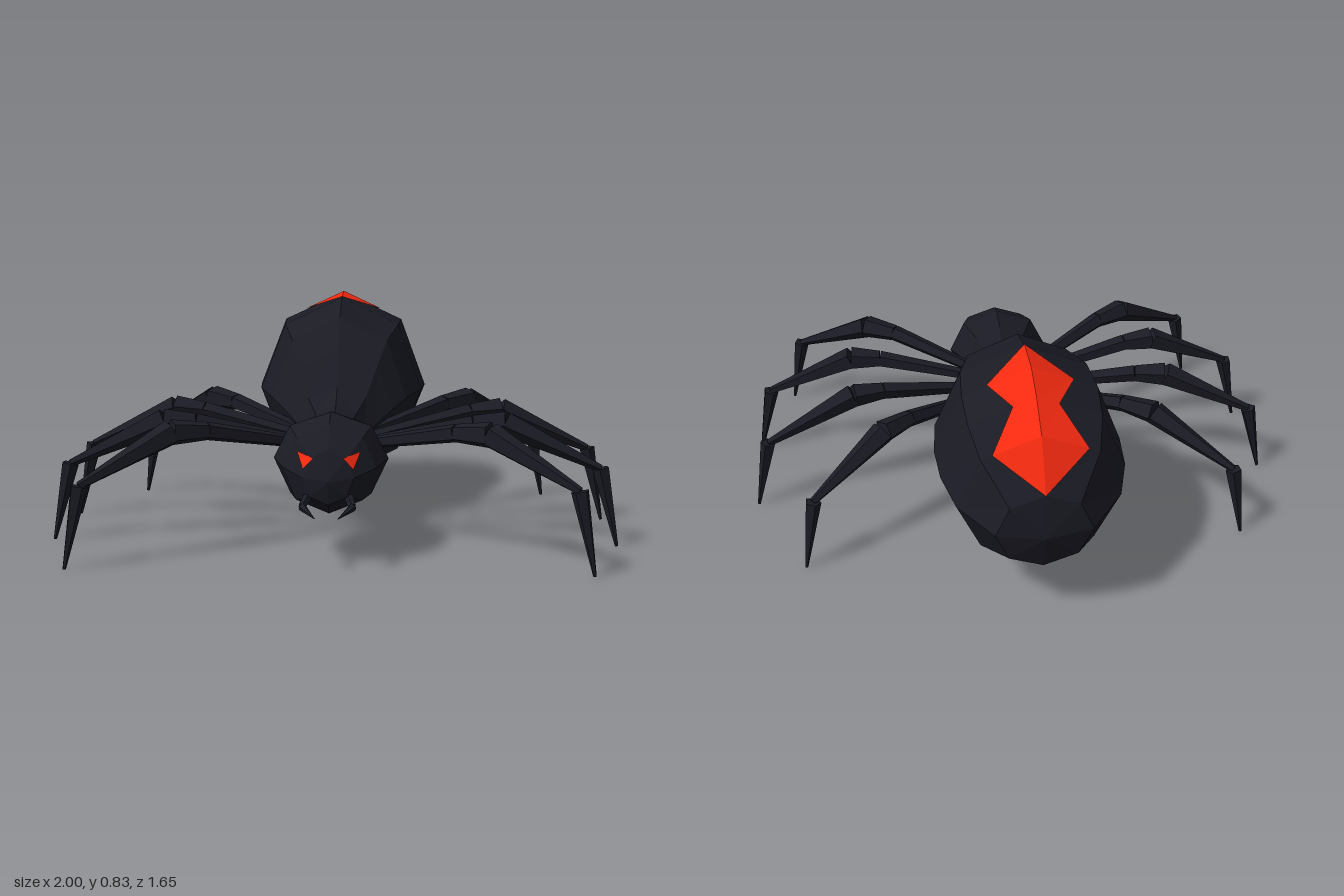
import * as THREE from 'three';

const V = (x, y, z) => new THREE.Vector3(x, y, z);
const shell = new THREE.MeshStandardMaterial({ color: 0x1a1b24, flatShading: true });
const red = new THREE.MeshStandardMaterial({ color: 0xf52a10, flatShading: true, side: THREE.DoubleSide });

function named(name, geometry, material) {
  const m = new THREE.Mesh(geometry, material);
  m.name = name;
  return m;
}

function fromTriangles(points) {
  const g = new THREE.BufferGeometry().setFromPoints(points);
  g.computeVertexNormals();
  return g;
}

// Point k of an eight-sided ring: [top z, top y, mid z, mid y, half width, bottom z, bottom y]
function ringPoint([tz, ty, mz, my, w, bz, by], k) {
  const a = (k * Math.PI) / 4, c = Math.cos(a), t = Math.abs(c);
  const z = c > 0 ? tz : bz, y = c > 0 ? ty : by;
  return V(w * Math.sin(a), my + (y - my) * t, mz + (z - mz) * t);
}

// Skin over rings running from back to front, with mirrored diagonals
function loft(rings) {
  const pts = [];
  for (let i = 0; i < rings.length - 1; i++) {
    for (let k = 0; k < 8; k++) {
      const a = ringPoint(rings[i], k), a1 = ringPoint(rings[i], k + 1);
      const b = ringPoint(rings[i + 1], k), b1 = ringPoint(rings[i + 1], k + 1);
      if (k < 4) pts.push(a, b, b1, a, b1, a1);
      else pts.push(a, b, a1, a1, b, b1);
    }
  }
  return fromTriangles(pts);
}

// Tapered low-poly limb section between two points
function limb(name, p, q, r0, r1, sides = 5) {
  const d = q.clone().sub(p);
  const m = named(name, new THREE.CylinderGeometry(r1, r0, d.length(), sides), shell);
  m.position.copy(p).add(q).multiplyScalar(0.5);
  m.quaternion.setFromUnitVectors(V(0, 1, 0), d.normalize());
  return m;
}

const pole = (z, y) => [z, y, z, y, 0, z, y];

const abdomenRings = [
  pole(-0.83, 0.39),
  [-0.805, 0.55, -0.805, 0.4, 0.165, -0.78, 0.24],
  [-0.7, 0.71, -0.67, 0.43, 0.28, -0.63, 0.155],
  [-0.58, 0.78, -0.53, 0.45, 0.32, -0.48, 0.14],
  [-0.455, 0.82, -0.38, 0.455, 0.33, -0.305, 0.125],
  [-0.29, 0.81, -0.22, 0.46, 0.315, -0.18, 0.13],
  [-0.106, 0.75, -0.04, 0.45, 0.255, -0.06, 0.14],
  [0, 0.64, 0.04, 0.42, 0.205, 0.04, 0.16],
  [0.115, 0.51, 0.12, 0.38, 0.15, 0.12, 0.19],
  [0.2, 0.46, 0.2, 0.35, 0.105, 0.2, 0.23],
  [0.28, 0.44, 0.28, 0.35, 0.085, 0.28, 0.26],
  [0.36, 0.44, 0.36, 0.34, 0.08, 0.36, 0.26],
  pole(0.38, 0.34),
];

const headRings = [
  pole(0.33, 0.34),
  [0.36, 0.42, 0.355, 0.34, 0.08, 0.36, 0.25],
  [0.43, 0.475, 0.41, 0.335, 0.135, 0.43, 0.195],
  [0.535, 0.49, 0.52, 0.33, 0.195, 0.535, 0.16],
  [0.62, 0.46, 0.635, 0.32, 0.155, 0.65, 0.168],
  [0.69, 0.39, 0.705, 0.3, 0.085, 0.71, 0.21],
  pole(0.73, 0.29),
];

// Per leg: [x, z] of hip, lower knee, upper knee, ankle and foot
const legs = {
  frontLeg: [[0.05, 0.29], [0.42, 0.53], [0.53, 0.59], [0.81, 0.755], [0.863, 0.772]],
  frontMiddleLeg: [[0.05, 0.27], [0.49, 0.332], [0.6, 0.342], [0.93, 0.385], [0.992, 0.393]],
  rearMiddleLeg: [[0.05, 0.22], [0.49, 0.1], [0.6, 0.073], [0.93, 0.015], [0.992, 0.008]],
  rearLeg: [[0.05, 0.18], [0.4, -0.105], [0.5, -0.19], [0.765, -0.375], [0.81, -0.397]],
};

function makeLeg(name, plan, s) {
  const heights = [0.33, 0.42, 0.425, 0.275, 0];
  const [hip, knee, top, ankle, foot] = plan.map(([x, z], i) => V(s * x, heights[i], z));
  const leg = new THREE.Group();
  leg.name = (s > 0 ? 'left ' : 'right ') + name;
  leg.add(
    limb('thigh', hip, knee, 0.018, 0.033),
    limb('knee', knee, top, 0.033, 0.046),
    limb('shin', top, ankle, 0.046, 0.014),
    limb('foot', ankle, foot, 0.03, 0.006),
  );
  return leg;
}

// Red hourglass following the ridge of the abdomen
function makeMark() {
  const half = [0, 0.8, 0.34, 0.63, 0];
  const centre = V(0, 0.45, -0.38), pts = [];
  const at = (i, s) => {
    const r = abdomenRings[i + 1];
    const p = ringPoint(r, 0).lerp(ringPoint(r, s > 0 ? 1 : 7), s ? half[i] : 0);
    return p.sub(centre).multiplyScalar(1.012).add(centre);
  };
  for (const s of [1, -1]) {
    for (let i = 0; i < 4; i++) {
      const t = at(i, 0), t1 = at(i + 1, 0), e = at(i, s), e1 = at(i + 1, s);
      if (i > 0) pts.push(...(s > 0 ? [t, e1, e] : [t, e, e1]));
      if (i < 3) pts.push(...(s > 0 ? [t, t1, e1] : [t, e1, t1]));
      else pts.push(...(s > 0 ? [t, t1, e] : [t, e, t1]));
    }
  }
  return named('hourglassMark', fromTriangles(pts.filter(Boolean)), red);
}

export function createModel() {
  const model = new THREE.Group();
  model.name = 'spider';
  const head = named('head', loft(headRings), shell);
  model.add(named('abdomen', loft(abdomenRings), shell), head, makeMark());

  const ray = new THREE.Raycaster();
  for (const s of [1, -1]) {
    const side = s > 0 ? 'left ' : 'right ';

    // Slanted triangular eye laid on the face
    const eye = [[0.105, 0.38], [0.048, 0.365], [0.083, 0.328]].map(([x, y]) => {
      ray.set(V(s * x, y, 2), V(0, 0, -1));
      const hit = ray.intersectObject(head)[0];
      return V(s * x, y, (hit ? hit.point.z : 0.69) + 0.01);
    });
    if (s < 0) eye.reverse();
    model.add(named(side + 'eye', fromTriangles(eye.reverse()), red));

    // Hooked fang
    const bend = V(s * 0.082, 0.215, 0.755);
    model.add(
      limb(side + 'fangBase', V(s * 0.065, 0.235, 0.68), bend, 0.016, 0.013),
      limb(side + 'fangTip', bend, V(s * 0.037, 0.19, 0.815), 0.014, 0.001),
    );

    for (const [name, plan] of Object.entries(legs)) model.add(makeLeg(name, plan, s));
  }
  return model;
}
